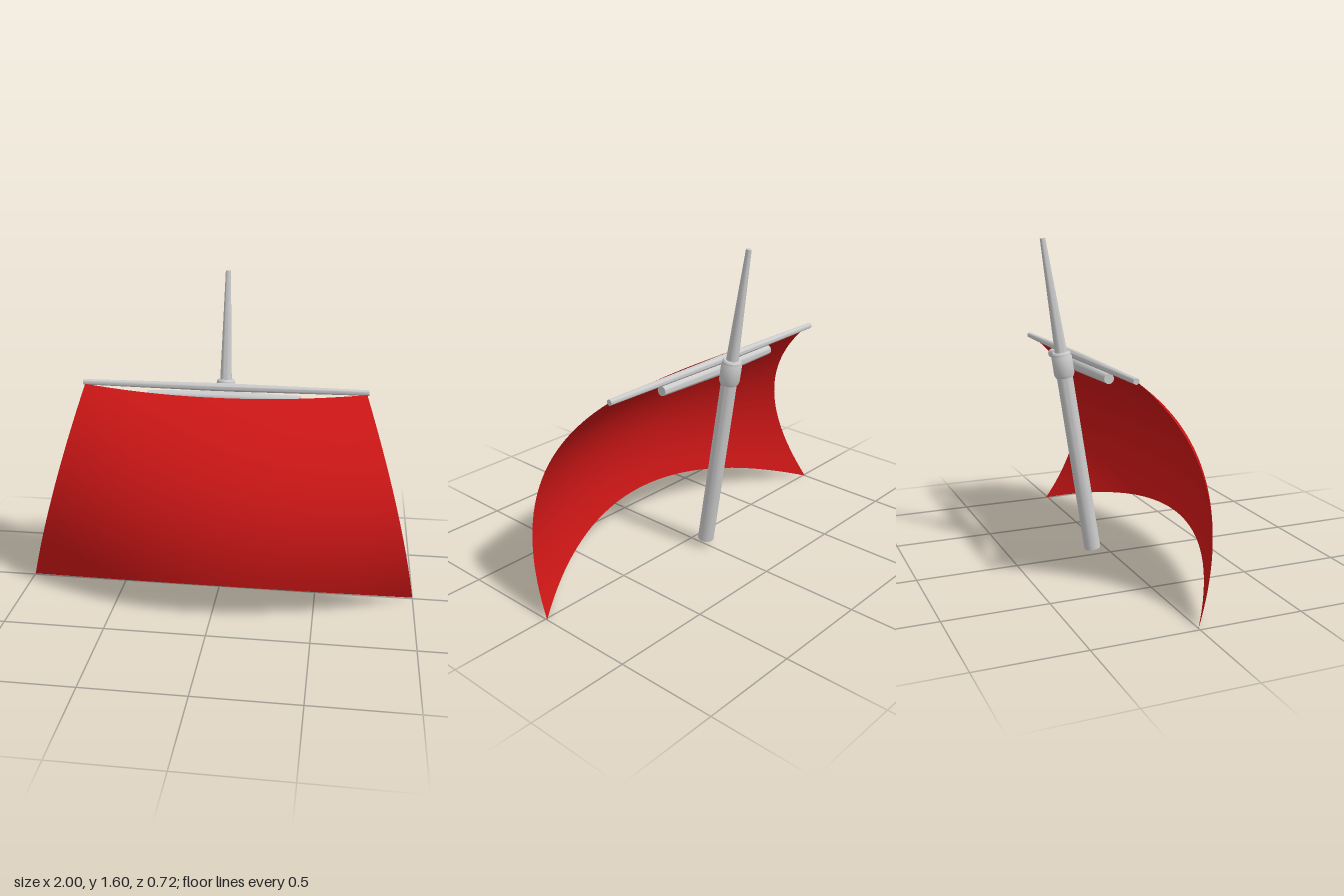
import * as THREE from 'three';
import { toCreasedNormals } from 'three/addons/utils/BufferGeometryUtils.js';

const grey = new THREE.MeshStandardMaterial({ color: 0xcccccc });
const red = new THREE.MeshStandardMaterial({ color: 0xcc1616, side: THREE.DoubleSide });

// Solid of revolution about y from [radius, height] pairs, with crisp rims
function turned(name, profile) {
  const points = profile.map(([r, y]) => new THREE.Vector2(r, y));
  const geometry = toCreasedNormals(new THREE.LatheGeometry(points, 24), 0.6);
  const mesh = new THREE.Mesh(geometry, grey);
  mesh.name = name;
  return mesh;
}

// Horizontal spar, thickest in the middle
function spar(name, half, rMid, rEnd, y, z) {
  const mesh = turned(name, [[0, -half], [rEnd, -half], [rMid, 0], [rEnd, half], [0, half]]);
  mesh.rotation.z = Math.PI / 2;
  mesh.position.set(0, y, z);
  return mesh;
}

const curve = (a, b, c) => new THREE.QuadraticBezierCurve3(
  new THREE.Vector3(...a), new THREE.Vector3(...b), new THREE.Vector3(...c));

// Billowing sail: a parabola across three head-to-foot curves
function createSail() {
  const rightEdge = curve([-0.72, 1.03, -0.17], [-0.8, 0.6, 0.31], [-1, 0, -0.01]);
  const middle = curve([0, 1.01, -0.085], [0, 0.73, 0.45], [0, 0.19, 0.347]);
  const leftEdge = curve([0.72, 1.03, -0.17], [0.91, 0.6, 0.38], [1, 0, -0.01]);
  const geometry = new THREE.PlaneGeometry(2, 1, 40, 32);
  const pos = geometry.attributes.position;
  for (let i = 0; i < pos.count; i++) {
    const u = pos.getX(i);
    const t = 0.5 - pos.getY(i);
    const p = rightEdge.getPoint(t).multiplyScalar(u * (u - 1) / 2)
      .addScaledVector(middle.getPoint(t), 1 - u * u)
      .addScaledVector(leftEdge.getPoint(t), u * (u + 1) / 2);
    pos.setXYZ(i, p.x, p.y, p.z);
  }
  geometry.computeVertexNormals();
  const sail = new THREE.Mesh(geometry, red);
  sail.name = 'sail';
  return sail;
}

export function createModel() {
  const model = new THREE.Group();
  model.name = 'mastAndSail';

  // Raked mast in two sections, joined by a collar
  const mast = new THREE.Group();
  mast.name = 'mast';
  mast.position.set(0, 0.04, -0.1);
  mast.rotation.x = -0.155;
  mast.add(
    turned('lowerMast', [[0, 0], [0.041, 0], [0.039, 0.98], [0, 0.98]]),
    turned('topmast', [[0, 0.96], [0.032, 0.96], [0.013, 1.58], [0, 1.58]]),
    turned('mastCollar', [[0.036, 0.905], [0.044, 0.905], [0.05, 0.92], [0.05, 1.005],
      [0.046, 1.012], [0.046, 1.022], [0.04, 1.03], [0.028, 1.03]]),
  );
  model.add(mast);

  // Yard carrying the sail, and the shorter stiffening spar beneath it
  model.add(
    spar('yard', 0.73, 0.021, 0.014, 1.037, -0.182),
    spar('yardBrace', 0.39, 0.033, 0.024, 0.987, -0.167),
    createSail(),
  );
  return model;
}
